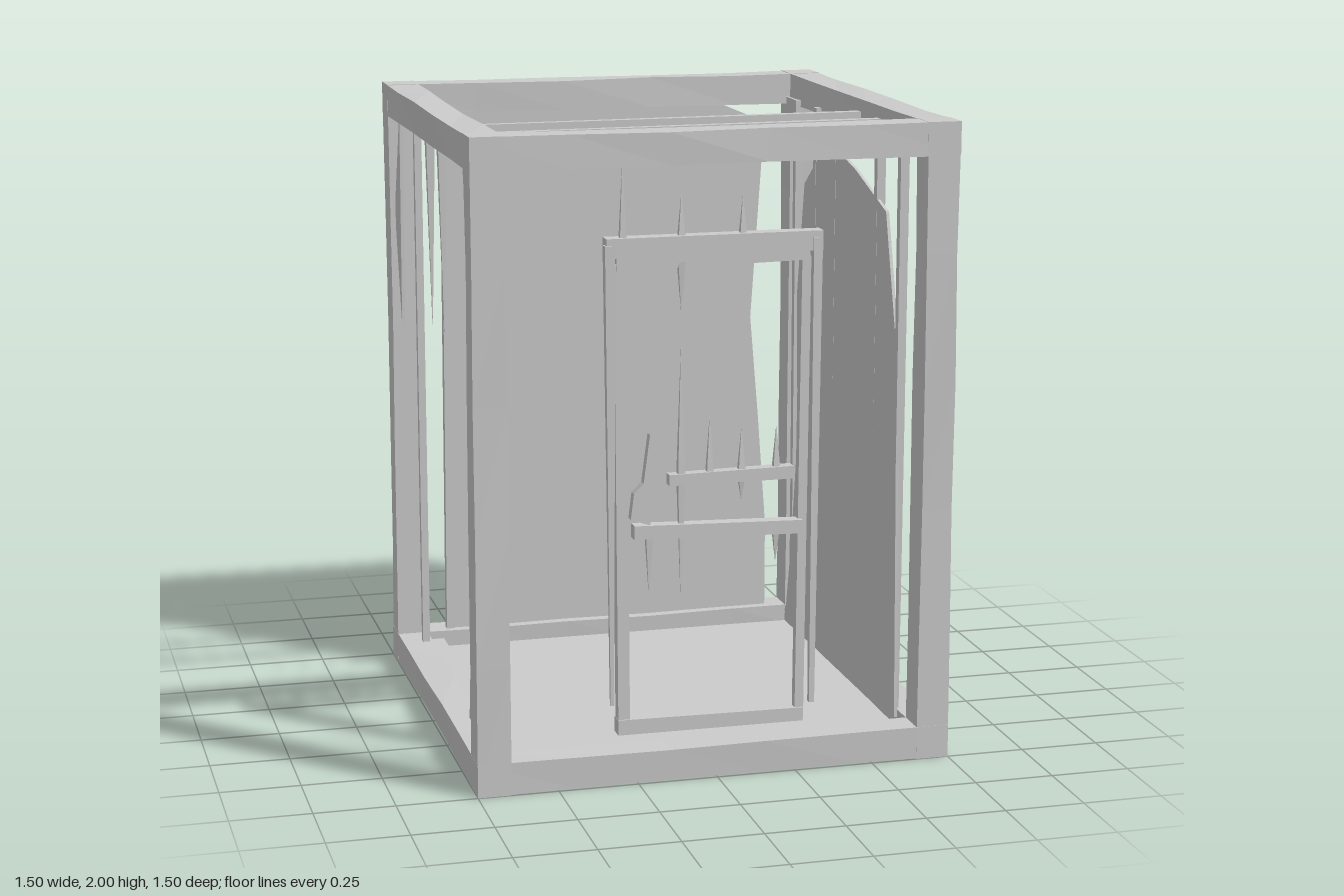
import * as THREE from 'three';

const material = new THREE.MeshStandardMaterial({ color: 0xcccccc, flatShading: true, side: THREE.DoubleSide });

export function createModel() {
  const cage = new THREE.Group();
  cage.name = 'cage';

  let seed = 7;
  const wobble = (amount) => {
    seed = (seed * 16807) % 2147483647;
    return (seed / 2147483647 - 0.5) * 2 * amount;
  };

  function add(name, geometry, parent = cage) {
    const mesh = new THREE.Mesh(geometry, material);
    mesh.name = name;
    parent.add(mesh);
    return mesh;
  }

  // Four-sided tapered rod between two points
  function rod(name, a, b, r0, r1 = r0, parent = cage) {
    const from = new THREE.Vector3(...a), to = new THREE.Vector3(...b);
    const dir = to.clone().sub(from);
    const geometry = new THREE.CylinderGeometry(r1, r0, dir.length(), 4, 1);
    geometry.rotateY(Math.PI / 4);
    const mesh = add(name, geometry, parent);
    mesh.position.copy(from).add(to).multiplyScalar(0.5);
    mesh.quaternion.setFromUnitVectors(new THREE.Vector3(0, 1, 0), dir.normalize());
  }

  // Square beam, slightly dented between its clean ends
  function beam(name, axis, length, position, parent) {
    const geometry = new THREE.BoxGeometry(0.104, length, 0.104, 1, 5, 1);
    const p = geometry.attributes.position;
    const dents = {};
    for (let i = 0; i < p.count; i++) {
      const x = p.getX(i), y = p.getY(i), z = p.getZ(i);
      if (Math.abs(y) > length * 0.49) continue;
      const key = [x, y, z].map((v) => v.toFixed(2)).join();
      dents[key] ??= [1 - Math.abs(wobble(0.1)), 1 - Math.abs(wobble(0.1))];
      p.setXYZ(i, x * dents[key][0], y, z * dents[key][1]);
    }
    if (axis === 'x') geometry.rotateZ(Math.PI / 2);
    if (axis === 'z') geometry.rotateX(Math.PI / 2);
    geometry.computeVertexNormals();
    add(name, geometry, parent).position.set(...position);
  }

  // Thin sheet cut from an outline
  function sheet(name, points, depth = 0.01, parent = cage) {
    const shape = new THREE.Shape(points.map(([u, v]) => new THREE.Vector2(u, v)));
    return add(name, new THREE.ExtrudeGeometry(shape, { depth, bevelEnabled: false }), parent);
  }

  // Sheet in a side wall, outline given as [z, y]
  function sideSheet(name, x, points) {
    const mesh = sheet(name, points.map(([z, y]) => [-z, y]));
    mesh.rotation.y = Math.PI / 2;
    mesh.position.x = x;
  }

  // Outer frame
  const frame = new THREE.Group();
  frame.name = 'frame';
  cage.add(frame);
  for (const s of [-1, 1]) {
    for (const t of [-1, 1]) beam('cornerPost', 'y', 2, [s * 0.698, 1, t * 0.698], frame);
    for (const y of [0.052, 1.948]) {
      beam('crossBeam', 'x', 1.5, [0, y, s * 0.698], frame);
      beam('sideBeam', 'z', 1.5, [s * 0.698, y, 0], frame);
    }
  }

  // Floor slab with a low ledge along the front and right
  add('floor', new THREE.BoxGeometry(1.48, 0.045, 1.48)).position.y = 0.0235;
  add('frontLedge', new THREE.BoxGeometry(1.3, 0.07, 0.08)).position.set(0, 0.04, 0.62);
  add('sideLedge', new THREE.BoxGeometry(0.07, 0.07, 1.3)).position.set(-0.625, 0.04, 0);

  // Back wall, with a bar along its edge
  sheet('backPanel', [[-0.56, 0.05], [0.58, 0.05], [0.58, 0.4], [0.55, 0.8], [0.52, 1.15],
    [0.56, 1.75], [0.5, 1.86], [0.36, 1.92], [-0.56, 1.92], [-0.56, 0.9]]).position.z = -0.69;
  rod('backBar', [-0.56, 0.08, -0.685], [-0.55, 1.92, -0.685], 0.02, 0.022);

  // Left wall: torn sheet behind upright bars
  sideSheet('sidePanel', 0.634, [[0.57, 0.08], [0.55, 0.7], [0.53, 1.26], [0.41, 1.68], [0.11, 1.77],
    [-0.18, 1.83], [-0.43, 1.65], [-0.5, 1.27], [-0.48, 0.75], [-0.54, 0.36], [-0.6, 0.08]]);
  for (const z of [0.53, 0.31, -0.11, -0.32, -0.545]) {
    rod('sideBar', [0.647, 0.08, z], [0.647, 1.92, z], 0.017, 0.02);
    rod('barSplinter', [0.647, 0.08, z - 0.02], [0.647, 1.1, z], 0.012, 0.002);
  }
  sideSheet('cornerScrap', 0.635, [[-0.55, 1.92], [-0.66, 1.92], [-0.66, 1.72]]);

  // Right wall: broken bar stubs and a scrap of sheet
  for (const [z, y] of [[0.53, 0.83], [0.31, 0.66]])
    rod('lowerBarStub', [-0.67, 0.08, z], [-0.67, y, z], 0.022, 0.001);
  for (const [z, y] of [[0.53, 1.55], [0.31, 1.5], [-0.11, 1.25], [-0.32, 1.25]])
    rod('upperBarStub', [-0.67, 1.92, z], [-0.67, y, z], 0.022, 0.001);
  rod('sideBar', [-0.67, 0.08, -0.55], [-0.67, 1.92, -0.55], 0.017);
  sideSheet('cornerScrap', -0.73, [[-0.54, 1.92], [-0.66, 1.58], [-0.56, 1.2]]);

  // Roof bars, thinning towards the right end
  for (const z of [0.09, 0.285]) rod('roofBar', [0.66, 1.94, z], [-0.66, 1.94, z], 0.023, 0.017);
  rod('brokenRoofBar', [0.66, 1.94, 0.445], [-0.02, 1.94, 0.445], 0.012, 0.002);

  // Door: two nested frames in the front opening
  const door = new THREE.Group();
  door.name = 'door';
  door.position.z = 0.68;
  cage.add(door);
  rod('outerStile', [-0.325, 1.66, 0.015], [-0.32, 0.24, 0.015], 0.022, 0.008, door);
  rod('outerStile', [0.318, 1.66, 0.015], [0.315, 0.2, 0.015], 0.02, 0.012, door);
  rod('innerStile', [-0.29, 1.6, -0.01], [-0.28, 0.14, -0.01], 0.026, 0.026, door);
  rod('innerStile', [0.29, 1.6, -0.01], [0.28, 0.14, -0.01], 0.02, 0.02, door);
  add('topRail', new THREE.BoxGeometry(0.67, 0.06, 0.05), door).position.y = 1.65;
  rod('innerTopRail', [-0.3, 1.6, -0.01], [0.3, 1.605, -0.01], 0.028, 0.022, door);
  rod('bottomRail', [-0.3, 0.165, -0.01], [0.29, 0.16, -0.01], 0.034, 0.03, door);

  // Door crossbars and latch
  rod('crossbar', [-0.14, 0.935, 0], [0.25, 0.938, 0], 0.024, 0.028, door);
  rod('crossbar', [-0.25, 0.78, 0], [0.28, 0.765, 0], 0.03, 0.03, door);
  sheet('latch', [[-0.25, 0.9], [-0.22, 0.93], [-0.2, 1.08], [-0.17, 0.95], [-0.19, 0.85],
    [-0.2, 0.8], [-0.26, 0.82]], 0.03, door).position.z = -0.015;

  // Splintered remains of the door bars: [x, start y, tip y]
  const splinters = [[-0.1, 0.95, 1.34], [-0.1, 0.93, 0.57], [-0.2, 0.77, 0.58], [-0.01, 0.94, 1.12],
    [0.09, 0.94, 1.08], [0.09, 0.94, 0.86], [0.2, 0.94, 1.08], [0.2, 0.77, 0.66], [-0.1, 1.6, 1.45],
    [-0.28, 1.64, 1.9], [-0.1, 1.66, 1.8], [0.09, 1.66, 1.79]];
  for (const [x, y0, y1] of splinters) rod('doorSplinter', [x, y0, 0], [x, y1, 0], 0.016, 0.001, door);

  return cage;
}
